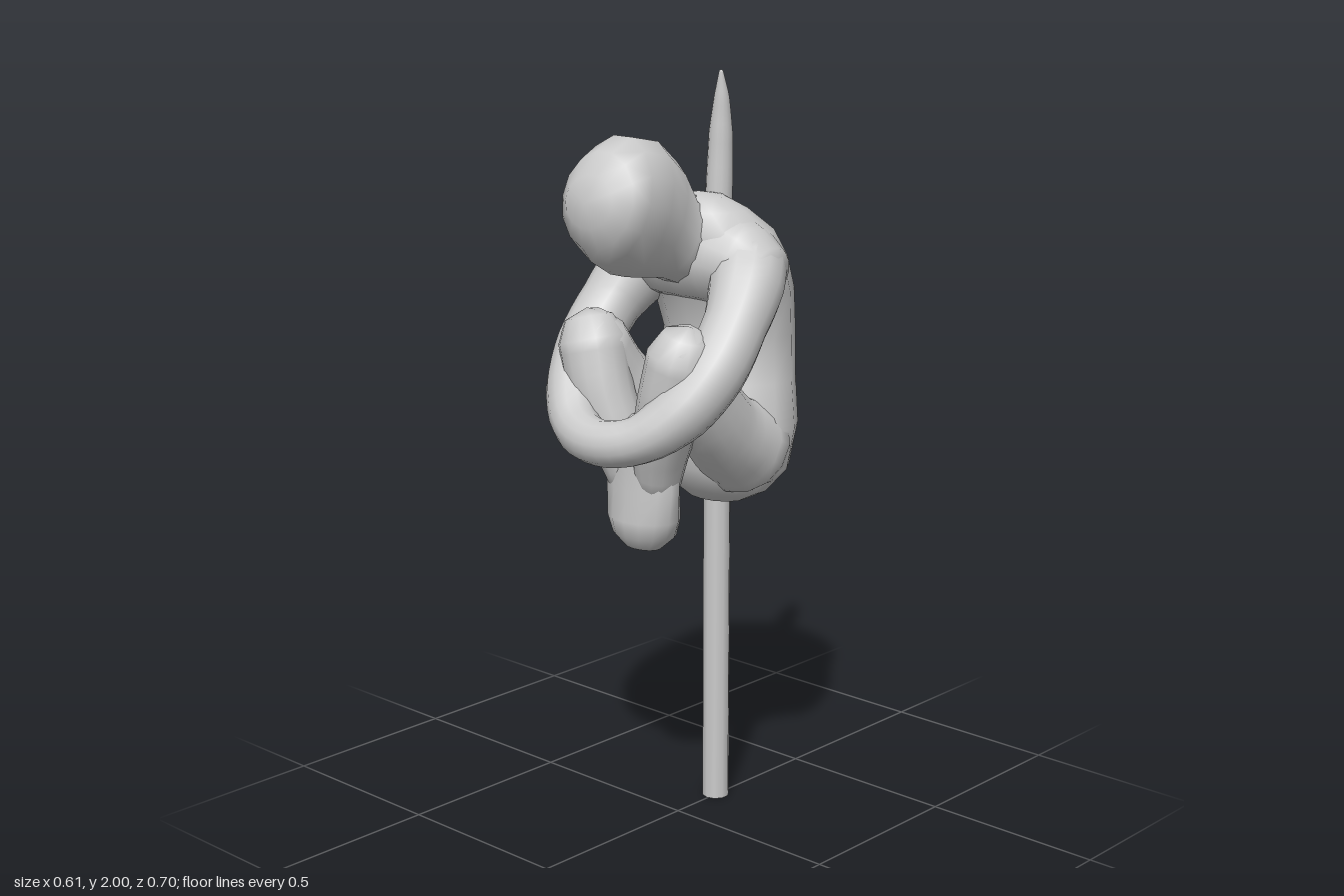
import * as THREE from 'three';

const SIDES = 14;
const V = (x, y, z) => new THREE.Vector3(x, y, z);
const material = new THREE.MeshStandardMaterial({ color: 0xcccccc });

// Skin over rings {c, u, v} (centre and two half axes, u x v along the travel), closed by two end points
function loft(name, rings, start, end) {
  const pos = [], idx = [], n = SIDES, last = (rings.length - 1) * n;
  for (const { c, u, v } of rings) {
    for (let j = 0; j < n; j++) {
      const a = (j / n) * Math.PI * 2;
      const p = c.clone().addScaledVector(u, Math.cos(a)).addScaledVector(v, Math.sin(a));
      pos.push(p.x, p.y, p.z);
    }
  }
  const s = rings.length * n;
  pos.push(...start.toArray(), ...end.toArray());
  for (let j = 0; j < n; j++) {
    const k = (j + 1) % n;
    for (let i = 0; i < last; i += n) {
      idx.push(i + j, i + k, i + n + k, i + j, i + n + k, i + n + j);
    }
    idx.push(s, k, j, s + 1, last + j, last + k);
  }
  const g = new THREE.BufferGeometry();
  g.setAttribute('position', new THREE.Float32BufferAttribute(pos, 3));
  g.setIndex(idx);
  g.computeVertexNormals();
  const mesh = new THREE.Mesh(g, material);
  mesh.name = name;
  return mesh;
}

// Upright body from level slices [height, back z, front z, half width]
function stack(name, slices, start, end) {
  return loft(name, slices.map(([y, b, f, w]) => ({
    c: V(0, y, (b + f) / 2), u: V(0, 0, (f - b) / 2), v: V(w, 0, 0),
  })), start, end);
}

// Round limb through points [x, y, z, radius] with domed ends
function limb(name, pts, ref, steps = 4) {
  const curve = new THREE.CatmullRomCurve3(pts.map(p => V(p[0], p[1], p[2])));
  const count = (pts.length - 1) * steps, rings = [];
  const add = (t, r, shift) => {
    const d = curve.getTangent(t);
    const u = ref.clone().cross(d).normalize();
    const v = d.clone().cross(u);
    rings.push({ c: curve.getPoint(t).addScaledVector(d, shift), u: u.multiplyScalar(r), v: v.multiplyScalar(r) });
  };
  const r0 = pts[0][3], r1 = pts[pts.length - 1][3];
  add(0, r0 * 0.7, -r0 * 0.65);
  for (let i = 0; i <= count; i++) {
    const k = Math.min(Math.floor(i / steps), pts.length - 2);
    add(i / count, THREE.MathUtils.lerp(pts[k][3], pts[k + 1][3], i / steps - k), 0);
  }
  add(1, r1 * 0.7, r1 * 0.65);
  const start = curve.getPoint(0).addScaledVector(curve.getTangent(0), -r0 * 0.92);
  const end = curve.getPoint(1).addScaledVector(curve.getTangent(1), r1 * 0.92);
  return loft(name, rings, start, end);
}

// Mirror limb points to the other side
const flip = pts => pts.map(([x, y, z, r]) => [-x, y, z, r]);

export function createModel() {
  const group = new THREE.Group();
  group.name = 'seatedFigureOnPole';

  // Curled torso
  group.add(stack('torso', [
    [0.87, -0.22, -0.09, 0.09], [0.9, -0.26, -0.06, 0.15], [0.97, -0.31, -0.01, 0.215],
    [1.08, -0.337, -0.005, 0.228], [1.2, -0.349, -0.04, 0.198], [1.32, -0.353, -0.047, 0.19],
    [1.44, -0.33, -0.015, 0.208], [1.53, -0.29, 0.035, 0.222], [1.6, -0.25, 0.045, 0.2],
    [1.655, -0.19, 0.03, 0.135], [1.685, -0.14, 0.0, 0.075],
  ], V(0, 0.86, -0.155), V(0, 1.695, -0.08)));

  // Shoulder girdle and upper chest
  const shoulder = [[0.168, 1.515, -0.085, 0.107], [0.09, 1.53, -0.085, 0.124]];
  group.add(limb('shoulders', [...shoulder, [0, 1.535, -0.085, 0.13], ...flip(shoulder).reverse()], V(0, 1, 0)));

  // Bowed neck and head: top z, top y, bottom z, bottom y, half width
  const head = [
    [-0.1, 1.675, 0.0, 1.46, 0.115], [-0.02, 1.7, 0.08, 1.49, 0.1], [0.025, 1.785, 0.15, 1.5, 0.102],
    [0.1, 1.845, 0.22, 1.51, 0.126], [0.2, 1.865, 0.285, 1.55, 0.136],
    [0.265, 1.83, 0.318, 1.59, 0.122], [0.31, 1.775, 0.334, 1.645, 0.08],
  ];
  group.add(loft('head', head.map(([tz, ty, bz, by, w]) => ({
    c: V(0, (ty + by) / 2, (tz + bz) / 2), u: V(w, 0, 0), v: V(0, (ty - by) / 2, (tz - bz) / 2),
  })), V(0, 1.56, -0.08), V(0, 1.71, 0.335)));

  // Arms clasped around the knees, as one limb from shoulder to shoulder
  const arm = [
    [0.16, 1.52, -0.09, 0.1], [0.192, 1.47, -0.045, 0.097], [0.218, 1.39, 0.025, 0.083],
    [0.222, 1.285, 0.11, 0.083], [0.187, 1.19, 0.19, 0.077], [0.11, 1.118, 0.262, 0.062],
  ];
  group.add(limb('arms', [...arm, [0, 1.097, 0.291, 0.059], ...flip(arm).reverse()], V(0, 1, 1)));

  // Drawn-up legs
  const thigh = [
    [0.105, 1.03, -0.14, 0.135], [0.13, 1.1, -0.02, 0.108], [0.15, 1.215, 0.085, 0.094], [0.158, 1.315, 0.15, 0.091],
  ];
  const shin = [
    [0.158, 1.32, 0.155, 0.09], [0.125, 1.2, 0.16, 0.087], [0.075, 1.07, 0.145, 0.077], [0.05, 0.97, 0.13, 0.06],
  ];
  for (const [side, same] of [['left', pts => pts], ['right', flip]]) {
    group.add(limb(side + 'Thigh', same(thigh), V(1, 0, 0)));
    group.add(limb(side + 'Shin', same(shin), V(1, 0, 0)));
  }

  // Ankles and feet pressed together
  group.add(stack('feet', [
    [0.79, 0.1, 0.17, 0.055], [0.825, 0.055, 0.2, 0.092], [0.87, 0.052, 0.208, 0.108],
    [0.95, 0.068, 0.197, 0.117], [1.04, 0.075, 0.2, 0.122], [1.12, 0.09, 0.2, 0.1],
  ], V(0, 0.78, 0.135), V(0, 1.15, 0.15)));

  // Pole below and its pointed end above the shoulders
  const pole = new THREE.Mesh(new THREE.CylinderGeometry(0.037, 0.037, 0.95, 10), material);
  pole.name = 'pole';
  pole.position.set(-0.004, 0.475, -0.158);
  group.add(pole);
  group.add(limb('spike', [
    [-0.002, 1.6, -0.155, 0.036], [-0.002, 1.72, -0.16, 0.035], [0, 1.84, -0.162, 0.031],
    [0.007, 1.93, -0.157, 0.02], [0.013, 1.994, -0.148, 0.006],
  ], V(1, 0, 0)));

  return group;
}
